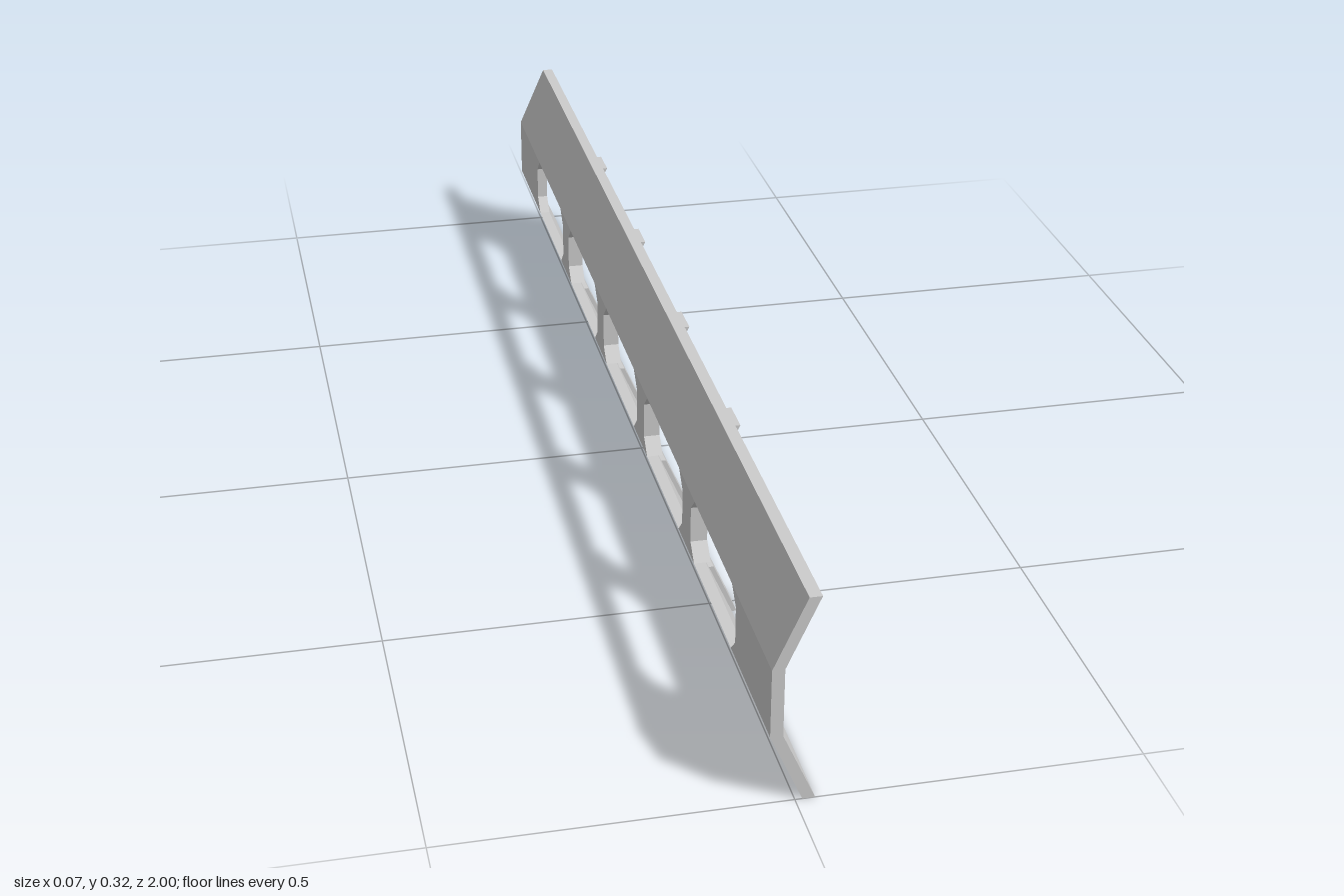
import * as THREE from 'three';

const material = new THREE.MeshStandardMaterial({ color: 0xcccccc, flatShading: true });

const H = 0.32, FOLD_LOW = 0.107, FOLD_HIGH = 0.213;
const PLATE = 0.018, RIB = 0.0255;

// x of the outer skin of the folded plate at height y
function skinX(y) {
  if (y < FOLD_LOW) return THREE.MathUtils.lerp(0.0105, -0.037, y / FOLD_LOW);
  if (y > FOLD_HIGH) return THREE.MathUtils.lerp(-0.037, 0.0105, (y - FOLD_HIGH) / (H - FOLD_HIGH));
  return -0.037;
}

// Solid strip following the fold; rows are [y, zMin, zMax], bottom to top
function strip(name, rows, from, to, capped = true) {
  const rings = rows.map(([y, z0, z1]) => {
    const x = skinX(y);
    return [[x + from, y, z0], [x + from, y, z1], [x + to, y, z1], [x + to, y, z0]];
  });
  const positions = [];
  const quad = (a, b, c, d) => positions.push(...a, ...b, ...c, ...a, ...c, ...d);
  for (let i = 0; i < rings.length - 1; i++) {
    for (let k = 0; k < 4; k++) {
      const n = (k + 1) % 4;
      quad(rings[i][k], rings[i][n], rings[i + 1][n], rings[i + 1][k]);
    }
  }
  if (capped) {
    quad(...rings[rings.length - 1]);
    quad(...[...rings[0]].reverse());
  }
  const geometry = new THREE.BufferGeometry();
  geometry.setAttribute('position', new THREE.Float32BufferAttribute(positions, 3));
  geometry.computeVertexNormals();
  const mesh = new THREE.Mesh(geometry, material);
  mesh.name = name;
  return mesh;
}

export function createModel() {
  const group = new THREE.Group();
  group.name = 'slottedGuardPanel';

  // Sloping flanges along the whole length
  group.add(strip('lowerFlange', [[0, -1, 1], [FOLD_LOW, -1, 1]], 0, PLATE));
  group.add(strip('upperFlange', [[FOLD_HIGH, -1, 1], [H, -1, 1]], 0, PLATE));

  // Upright web: solid ends and posts, flared to chamfer the window corners
  const C = 0.024;
  const web = (name, z0, z1, flare0, flare1) => group.add(strip(name, [
    [FOLD_LOW, z0 - flare0, z1 + flare1],
    [FOLD_LOW + C, z0, z1],
    [FOLD_HIGH - C, z0, z1],
    [FOLD_HIGH, z0 - flare0, z1 + flare1],
  ], 0, PLATE, false));
  web('frontEndWeb', 0.805, 1, C, 0);
  web('backEndWeb', -1, -0.805, 0, C);

  // Raised ribs cross both flanges and each post, pinched beside the folds
  const half = 0.028;
  const lower = [[0, half], [0.083, half], [0.096, 0.017], [FOLD_LOW, half + C], [FOLD_LOW + C, half]];
  const outline = [...lower, ...lower.map(([y, w]) => [H - y, w]).reverse()];
  for (const z of [-0.5, -0.167, 0.167, 0.5]) {
    web('windowPost', z - half, z + half, C, C);
    group.add(strip('rib', outline.map(([y, w]) => [y, z - w, z + w]), PLATE, RIB));
  }
  return group;
}
